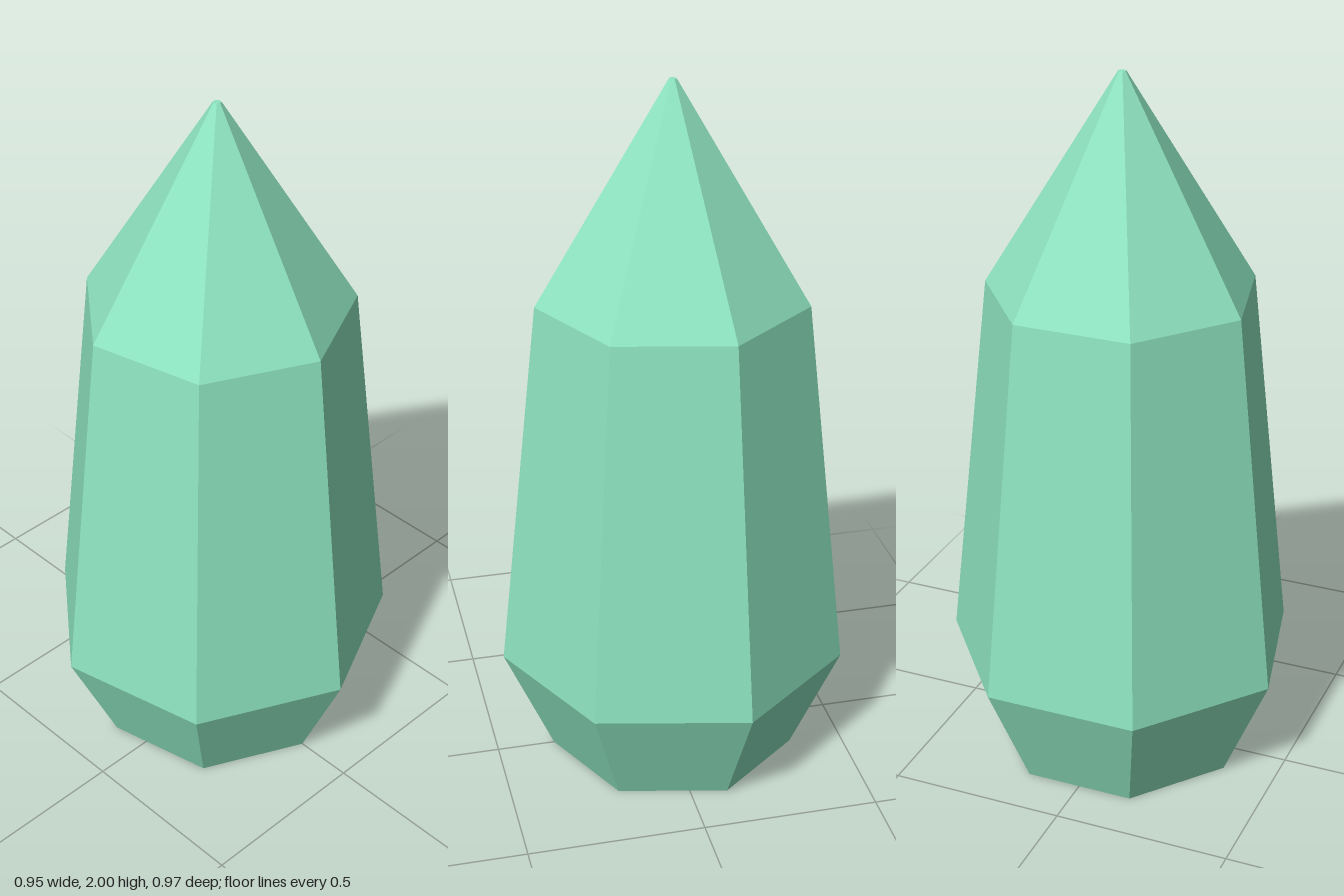
import * as THREE from 'three';

export function createModel() {
  const group = new THREE.Group();
  group.name = 'crystal';

  // Profile: flat base, flared foot, tapering shaft, pointed tip with a tiny flat
  const profile = [
    [0, 0], [0.358, 0], [0.498, 0.32], [0.378, 1.4], [0.011, 2], [0, 2],
  ].map(([r, y]) => new THREE.Vector2(r, y));

  // Seven-sided crystal with one edge pointing to +x
  const geometry = new THREE.LatheGeometry(profile, 7, Math.PI / 2);
  const material = new THREE.MeshStandardMaterial({ color: 0x8ee4c0, flatShading: true });
  const shard = new THREE.Mesh(geometry, material);
  shard.name = 'crystalShard';
  shard.position.x = -0.025; // centres the odd-sided outline
  group.add(shard);

  return group;
}
